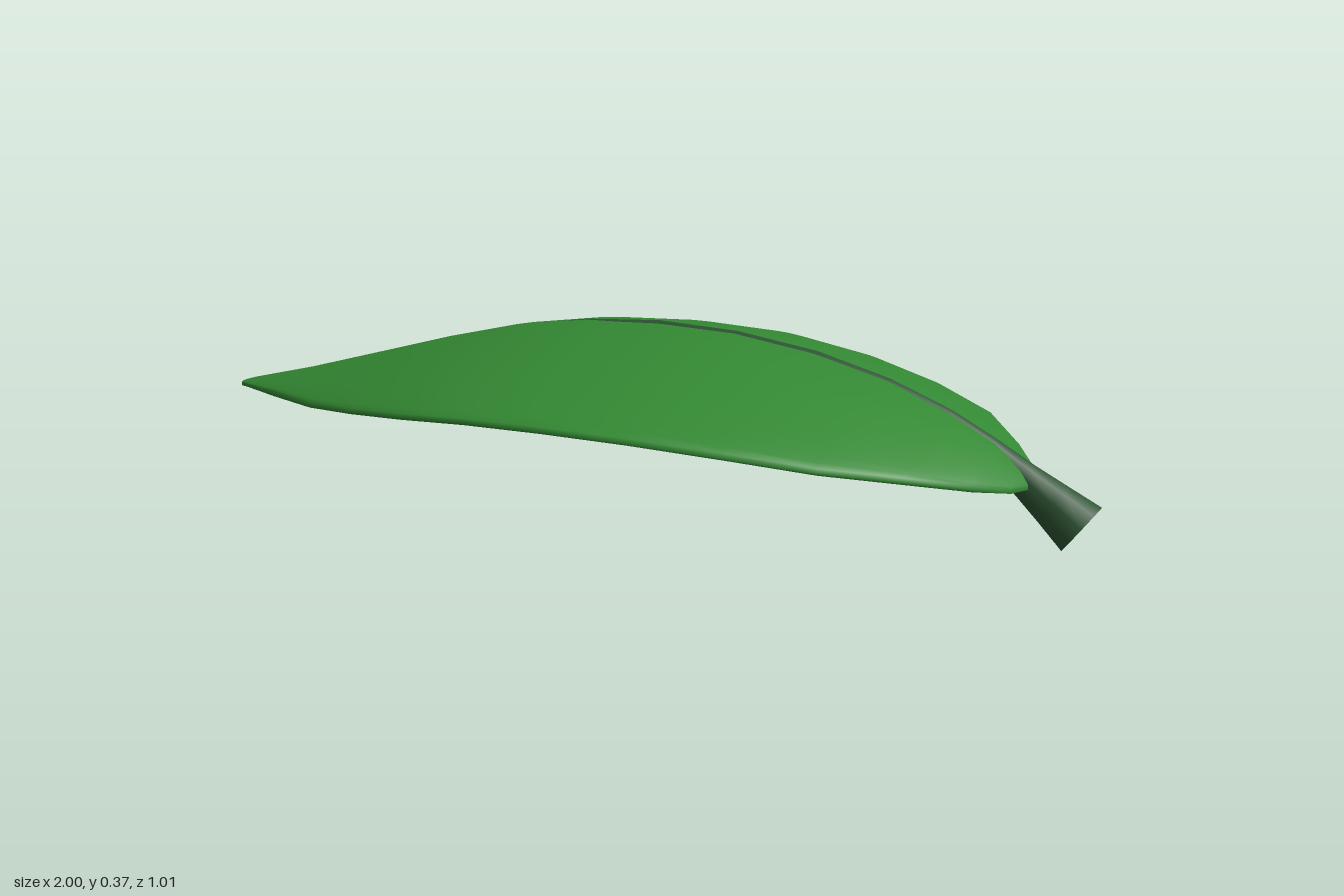
import * as THREE from 'three';

// Skin a list of rings (each an array of [x, y, z]) and close both ends with sharp caps
function loft(rings) {
  const n = rings[0].length;
  const centre = (ring) => {
    const c = [0, 1, 2].map((k) => ring.reduce((s, p) => s + p[k], 0) / n);
    return ring.map(() => c);
  };
  const first = rings[0], last = rings[rings.length - 1];
  const all = [centre(first), first, ...rings, last, centre(last)];
  const index = [];
  for (let i = 0; i < all.length - 1; i++) {
    for (let j = 0; j < n; j++) {
      const a = i * n + j, b = i * n + (j + 1) % n;
      index.push(a, a + n, b, b, a + n, b + n);
    }
  }
  const g = new THREE.BufferGeometry();
  g.setAttribute('position', new THREE.Float32BufferAttribute(all.flat(2), 3));
  g.setIndex(index);
  g.computeVertexNormals();
  return g;
}

// Leaf stations: x, half width, height of the midline, height of the rim
const BLADE = [
  [-1.0, 0.012, 0.135, 0.134], [-0.97, 0.035, 0.143, 0.139],
  [-0.8, 0.145, 0.178, 0.157], [-0.6, 0.277, 0.232, 0.18],
  [-0.42, 0.38, 0.282, 0.207], [-0.25, 0.45, 0.323, 0.229],
  [-0.08, 0.493, 0.348, 0.247], [0.09, 0.503, 0.356, 0.252],
  [0.26, 0.488, 0.35, 0.247], [0.43, 0.44, 0.325, 0.229],
  [0.58, 0.374, 0.286, 0.205], [0.71, 0.28, 0.234, 0.182],
  [0.8, 0.165, 0.187, 0.152], [0.85, 0.085, 0.152, 0.134],
  [0.87, 0.03, 0.136, 0.13],
];

// Midrib and stalk: x, y, radius
const STALK = [
  [-0.96, 0.142, 0.004], [-0.8, 0.172, 0.008], [-0.6, 0.228, 0.015],
  [-0.42, 0.278, 0.016], [-0.25, 0.32, 0.017], [-0.08, 0.348, 0.017],
  [0.09, 0.358, 0.018], [0.26, 0.351, 0.018], [0.43, 0.326, 0.018],
  [0.58, 0.286, 0.018], [0.7, 0.237, 0.02], [0.78, 0.19, 0.025],
  [0.85, 0.14, 0.034], [0.91, 0.096, 0.046], [0.965, 0.055, 0.058],
];

// Arched blade: thin rounded sections whose sides droop away from the midline
function bladeGeometry() {
  const N = 40;
  return loft(BLADE.map(([x, w, yMid, yRim]) => {
    const t = Math.min(0.016, 0.006 + w * 0.06);
    return Array.from({ length: N }, (_, j) => {
      const a = (j / N) * Math.PI * 2;
      const c = Math.cos(a), s = Math.sin(a);
      const y = yMid - (yMid - yRim) * Math.pow(Math.abs(c), 1.4);
      return [x, y + t * Math.sign(s) * Math.sqrt(Math.abs(s)), w * c];
    });
  }));
}

// Round sections set square to the path of the midrib
function stalkGeometry() {
  const N = 10;
  return loft(STALK.map(([x, y, r], i) => {
    const p = STALK[Math.max(i - 1, 0)], q = STALK[Math.min(i + 1, STALK.length - 1)];
    const len = Math.hypot(q[0] - p[0], q[1] - p[1]);
    const tx = (q[0] - p[0]) / len, ty = (q[1] - p[1]) / len;
    return Array.from({ length: N }, (_, j) => {
      const a = ((j + 0.5) / N) * Math.PI * 2;
      const up = r * Math.sin(a);
      return [x - ty * up, y + tx * up, 0.92 * r * Math.cos(a)];
    });
  }));
}

export function createModel() {
  const group = new THREE.Group();
  group.name = 'leaf';
  const add = (name, geometry, color) => {
    const mesh = new THREE.Mesh(geometry, new THREE.MeshStandardMaterial({ color }));
    mesh.name = name;
    group.add(mesh);
  };
  add('leafBlade', bladeGeometry(), 0x338833);
  add('midribAndStalk', stalkGeometry(), 0x2c5232);
  return group;
}
